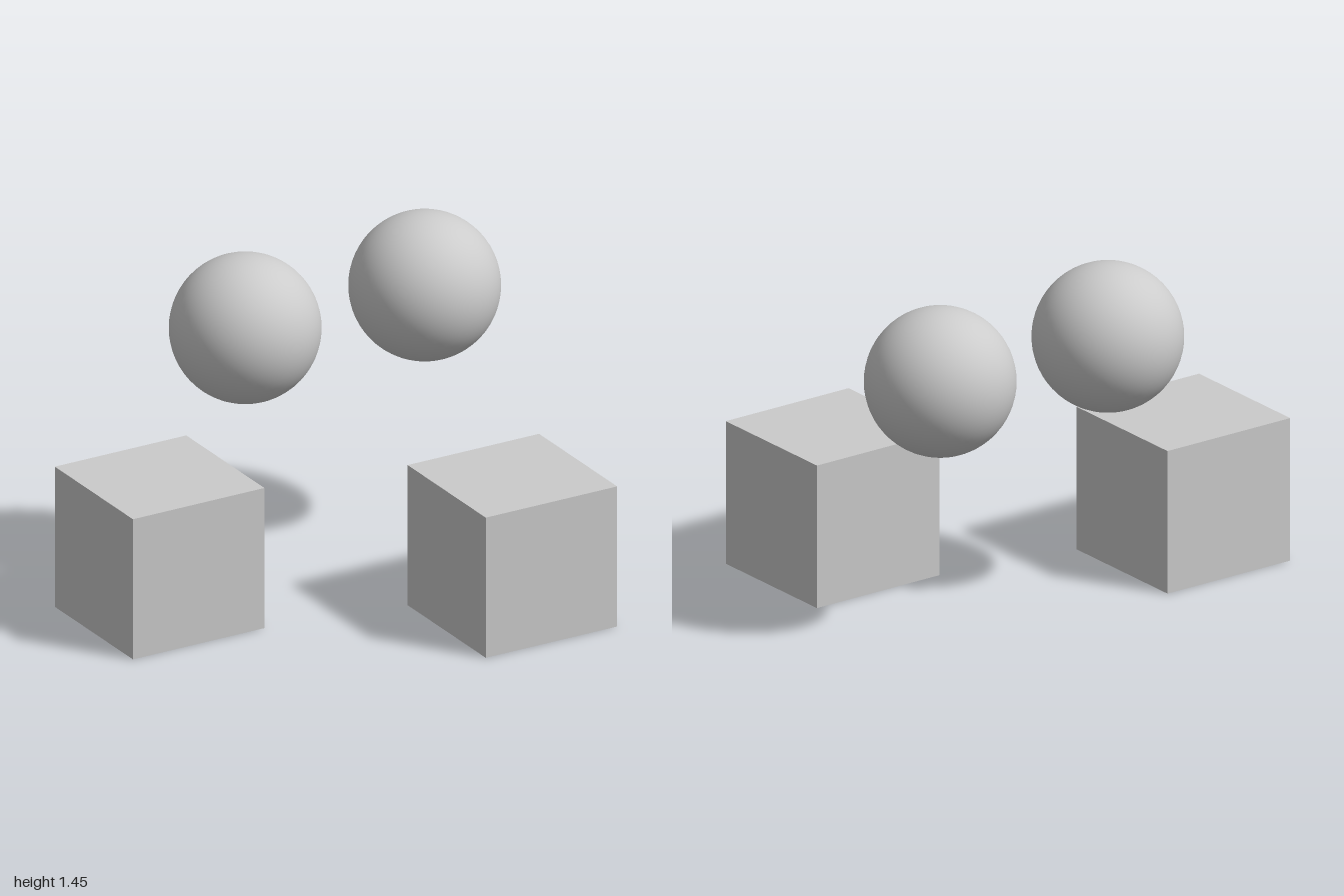
import * as THREE from 'three';

const SIZE = 0.632; // cube edge and sphere diameter

export function createModel() {
  const model = new THREE.Group();
  const material = new THREE.MeshStandardMaterial({ color: 0xcccccc });
  const cube = new THREE.BoxGeometry(SIZE, SIZE, SIZE);
  const sphere = new THREE.SphereGeometry(SIZE / 2, 64, 32);

  const add = (name, geometry, x, y, z) => {
    const mesh = new THREE.Mesh(geometry, material);
    mesh.name = name;
    mesh.position.set(x, y, z);
    model.add(mesh);
  };

  // Cubes standing on the ground
  add('rightCube', cube, -0.684, SIZE / 2, -0.287);
  add('leftCube', cube, 0.578, SIZE / 2, 0.444);

  // Floating spheres behind and above
  add('rightSphere', sphere, -0.179, 1.135, -0.444);
  add('leftSphere', sphere, 0.684, 1.135, -0.444);

  return model;
}
